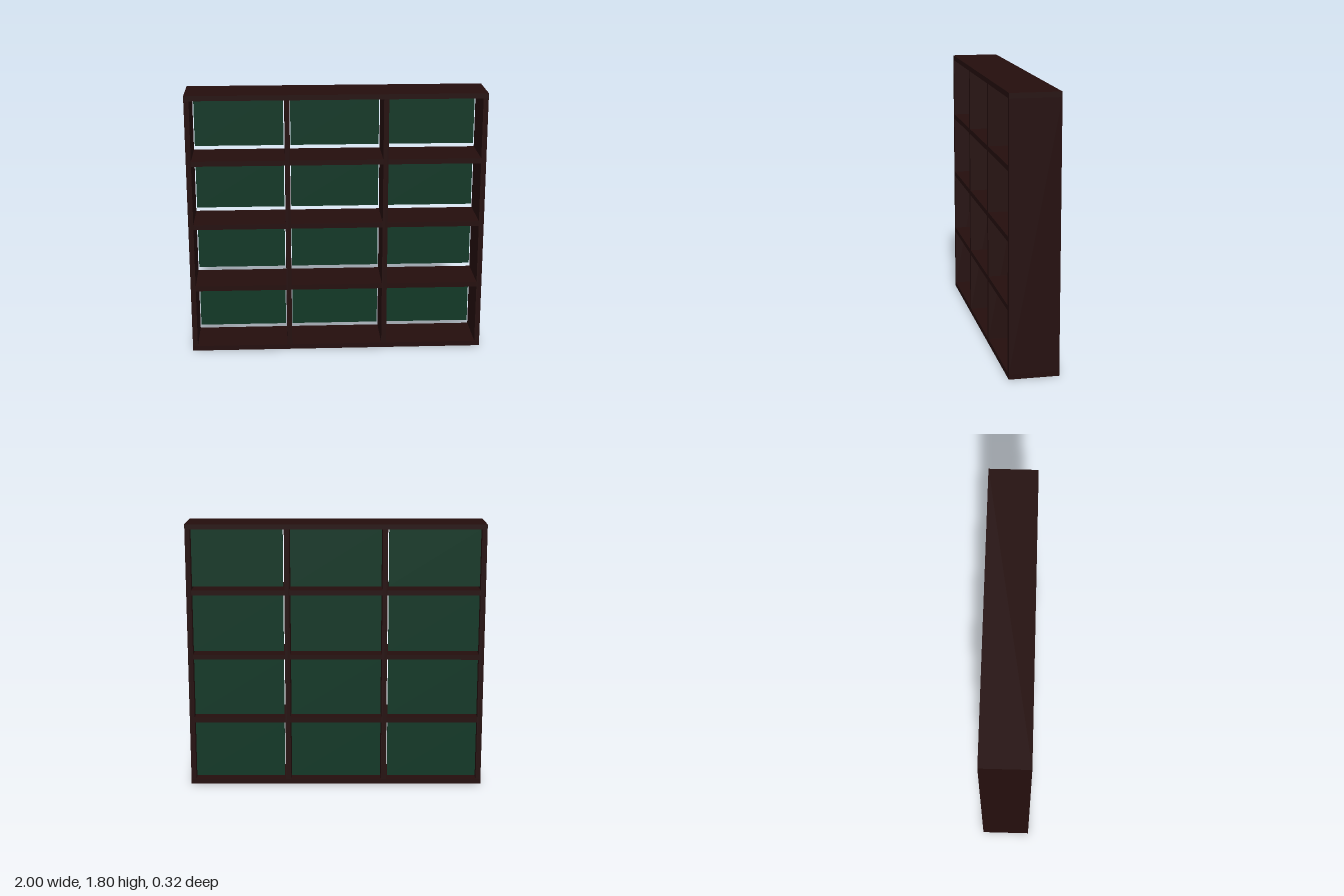
import * as THREE from 'three';

const W = 2, H = 1.8, D = 0.325;      // overall size
const T = 0.034;                      // board thickness
const COLS = 3, ROWS = 4;
const BACK = 0.01;                    // back panel thickness

export function createModel() {
  const group = new THREE.Group();
  const wood = new THREE.MeshStandardMaterial({ color: 0x240e0d });
  wood.name = 'dark wood';
  const green = new THREE.MeshStandardMaterial({ color: 0x113726 });
  green.name = 'dark green';

  const box = (name, mat, w, h, d, x, y, z) => {
    const mesh = new THREE.Mesh(new THREE.BoxGeometry(w, h, d), mat);
    mesh.name = name;
    mesh.position.set(x, y, z);
    group.add(mesh);
  };

  const cellW = (W - T * (COLS + 1)) / COLS;
  const cellH = (H - T * (ROWS + 1)) / ROWS;

  // Top and bottom boards run the full width
  box('bottomBoard', wood, W, T, D, 0, T / 2, 0);
  box('topBoard', wood, W, T, D, 0, H - T / 2, 0);

  // Side walls and upright dividers
  for (let i = 0; i <= COLS; i++) {
    const name = i === 0 || i === COLS ? 'sideWall' : 'divider';
    box(name, wood, T, H - 2 * T, D, -W / 2 + T / 2 + i * (cellW + T), H / 2, 0);
  }

  // Shelves between uprights, and a back panel with a slit at the bottom and sides
  const gapSide = 0.007, gapBottom = 0.027;
  for (let i = 0; i < COLS; i++) {
    const x = -W / 2 + T + cellW / 2 + i * (cellW + T);
    for (let j = 0; j < ROWS; j++) {
      const floor = T + j * (cellH + T);
      if (j > 0) box('shelf', wood, cellW, T, D, x, floor - T / 2, 0);
      box('backPanel', green, cellW - 2 * gapSide, cellH - gapBottom, BACK,
        x, floor + (cellH + gapBottom) / 2, -D / 2 + BACK / 2);
    }
  }
  return group;
}
